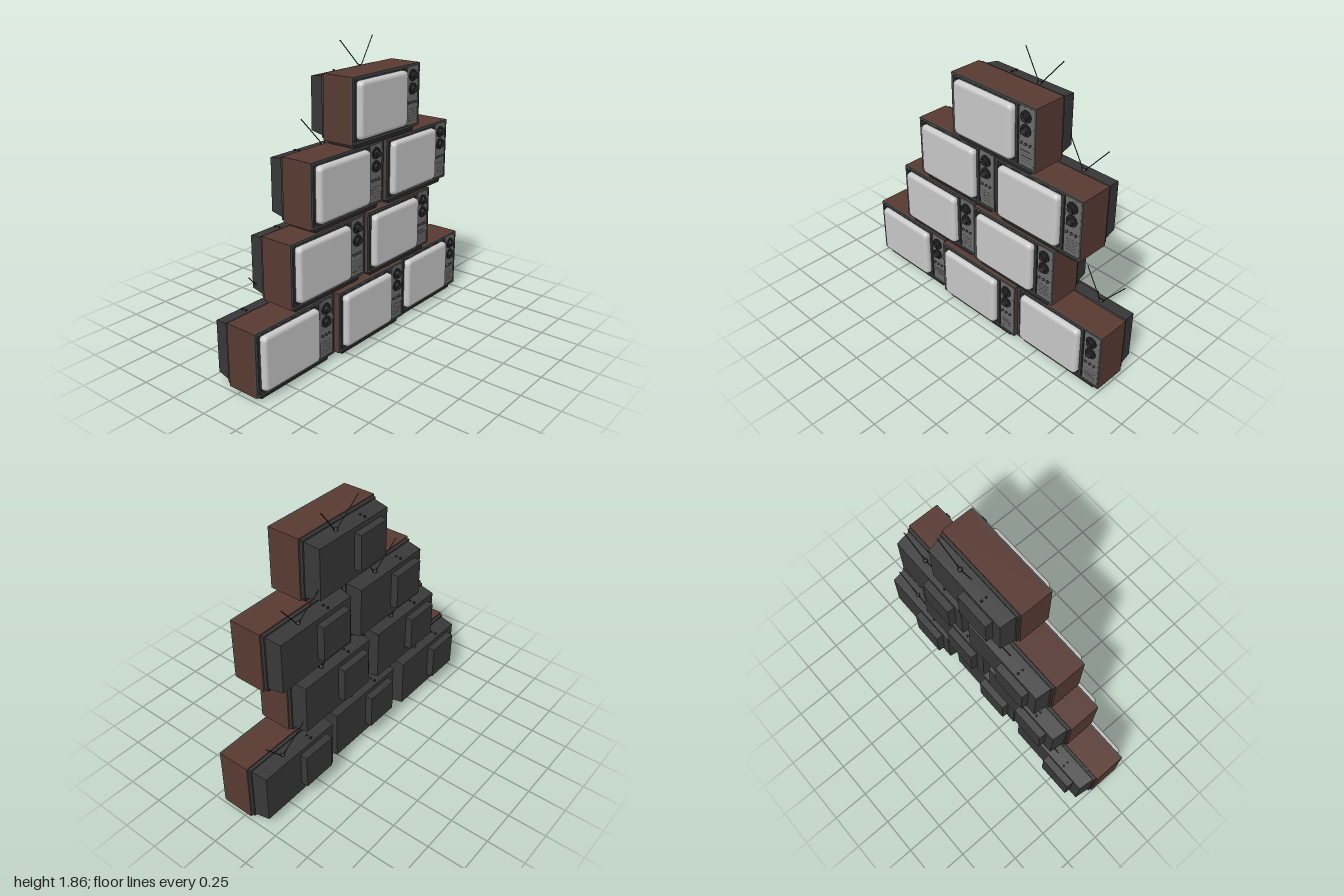
import * as THREE from 'three';

const mat = (name, color) => {
  const m = new THREE.MeshStandardMaterial({ color });
  m.name = name;
  return m;
};

// Box running from z0 (front) to z1 (rear) whose rear face shrinks by dx, dy
function taperBox(x0, x1, y0, y1, z0, z1, dx = 0, dy = 0) {
  const g = new THREE.BoxGeometry(x1 - x0, y1 - y0, z0 - z1);
  const p = g.attributes.position;
  for (let i = 0; i < p.count; i++) {
    if (p.getZ(i) < 0) {
      p.setX(i, p.getX(i) - Math.sign(p.getX(i)) * dx);
      p.setY(i, p.getY(i) - Math.sign(p.getY(i)) * dy);
    }
  }
  g.translate((x0 + x1) / 2, (y0 + y1) / 2, (z0 + z1) / 2);
  const flat = g.toNonIndexed();
  flat.computeVertexNormals();
  return flat;
}

function roundRect(x0, x1, y0, y1, r, Kind = THREE.Shape) {
  const s = new Kind();
  s.moveTo(x0 + r, y0);
  s.lineTo(x1 - r, y0);
  s.quadraticCurveTo(x1, y0, x1, y0 + r);
  s.lineTo(x1, y1 - r);
  s.quadraticCurveTo(x1, y1, x1 - r, y1);
  s.lineTo(x0 + r, y1);
  s.quadraticCurveTo(x0, y1, x0, y1 - r);
  s.lineTo(x0, y0 + r);
  s.quadraticCurveTo(x0, y0, x0 + r, y0);
  return s;
}

// Rectangular frame with a rounded opening
function frame(o, i, z, depth) {
  const s = roundRect(...o, 0.004);
  s.holes.push(roundRect(...i, 0.008, THREE.Path));
  return new THREE.ExtrudeGeometry(s, { depth, bevelEnabled: false, curveSegments: 3 }).translate(0, 0, z);
}

function disc(r, x, y, z, depth, sides = 20) {
  return new THREE.CylinderGeometry(r, r, depth, sides).rotateX(Math.PI / 2).translate(x, y, z + depth / 2);
}

function rod(a, b, r) {
  return new THREE.TubeGeometry(new THREE.LineCurve3(new THREE.Vector3(...a), new THREE.Vector3(...b)), 1, r, 6);
}

export function createModel() {
  const brown = mat('woodBrown', 0x583a32);
  const dark = mat('backCharcoal', 0x383838);
  const rimGrey = mat('rimGrey', 0x474747);
  const black = mat('knobBlack', 0x262626);
  const panelGrey = mat('panelGrey', 0x6c6c6c);
  const glass = mat('screenGrey', 0xc9c9c9);

  function television() {
    const tv = new THREE.Group();
    const add = (name, geometry, material) => {
      const m = new THREE.Mesh(geometry, material);
      m.name = name;
      tv.add(m);
    };

    // Cabinet and plinth
    add('cabinet', taperBox(-0.33, 0.33, 0.03, 0.427, 0.172, -0.036), brown);
    const plinth = new THREE.BoxGeometry(0.6, 0.03, 0.2);
    const p = plinth.attributes.position;
    for (let i = 0; i < p.count; i++) if (p.getY(i) < 0) p.setX(i, p.getX(i) * 0.94);
    add('plinth', plinth.translate(0, 0.015, 0.067), black);

    // Front rim, screen surround and divider
    add('frontRim', frame([-0.33, 0.33, 0.03, 0.427], [-0.314, 0.318, 0.044, 0.413], 0.172, 0.011), rimGrey);
    add('frontFace', taperBox(-0.316, 0.32, 0.042, 0.415, 0.175, 0.17), black);
    add('screenSurround', frame([-0.308, 0.196, 0.045, 0.412], [-0.294, 0.178, 0.055, 0.402], 0.173, 0.01), dark);

    // Bulging screen with bevelled edge
    const bulge = new THREE.ExtrudeGeometry(roundRect(-0.268, 0.152, 0.079, 0.378, 0.012), {
      depth: 0.015, bevelThickness: 0.026, bevelSize: 0.024, bevelSegments: 4, curveSegments: 4,
    });
    add('screen', bulge.translate(0, 0, 0.177), glass);

    // Control panel with dials and buttons
    add('controlPanel', taperBox(0.204, 0.316, 0.046, 0.411, 0.181, 0.172), panelGrey);
    [0.357, 0.274].forEach((y, k) => {
      add('dialRing', disc(0.037, 0.257, y, 0.18, 0.008, 24), black);
      add('dialKnob', disc(0.022, 0.257, y, 0.188, 0.018, 16), black);
      const grip = new THREE.BoxGeometry(0.01, 0.05, 0.01).rotateZ(k ? -0.8 : 0.8);
      add('dialGrip', grip.translate(0.257, y, 0.203), dark);
    });
    [0.225, 0.257, 0.289].forEach((x) => {
      add('buttonRing', disc(0.009, x, 0.188, 0.18, 0.004, 12), black);
      add('button', disc(0.006, x, 0.188, 0.18, 0.012, 12), panelGrey);
    });
    for (let i = 0; i < 5; i++) {
      add('speakerSlot', taperBox(0.22, 0.3, 0.07 + i * 0.018, 0.073 + i * 0.018, 0.1815, 0.18), rimGrey);
    }

    // Stepped rear housing
    add('rearLip', taperBox(-0.32, 0.32, 0.04, 0.418, -0.036, -0.056), dark);
    add('rearHousing', taperBox(-0.31, 0.31, 0.05, 0.408, -0.056, -0.157, 0.012, 0.014), dark);
    add('tubeHousing', taperBox(-0.237, 0.003, 0.122, 0.362, -0.15, -0.204, 0.004, 0.004), dark);
    [-0.1, -0.133].forEach((z) => {
      const peg = new THREE.CylinderGeometry(0.007, 0.007, 0.016, 10);
      add('rearPeg', peg.translate(-0.12, 0.4, z), black);
    });

    // Rabbit-ear antenna
    add('antennaBase', new THREE.SphereGeometry(0.015, 12, 8).translate(0.095, 0.4, -0.1), black);
    [[-1, -0.137], [1, -0.123]].forEach(([s, z]) => {
      const tip = [0.095 + s * 0.147, 0.572, z];
      add('antennaRod', rod([0.095 + s * 0.005, 0.4, -0.1], tip, 0.003), black);
      add('antennaTip', new THREE.SphereGeometry(0.004, 8, 6).translate(...tip), black);
    });
    return tv;
  }

  // Stack: x centre, row, depth shift
  const stack = [
    [-0.67, 0, -0.022], [0.004, 0, 0.005], [0.67, 0, -0.018],
    [-0.376, 1, -0.022], [0.295, 1, -0.008],
    [-0.197, 2, -0.022], [0.48, 2, -0.01],
    [0.137, 3, 0],
  ];
  const model = new THREE.Group();
  model.name = 'televisionStack';
  const master = television();
  stack.forEach(([x, row, z], i) => {
    const tv = master.clone();
    tv.name = 'television' + (i + 1);
    tv.position.set(x, row * 0.4267, z);
    model.add(tv);
  });
  return model;
}
